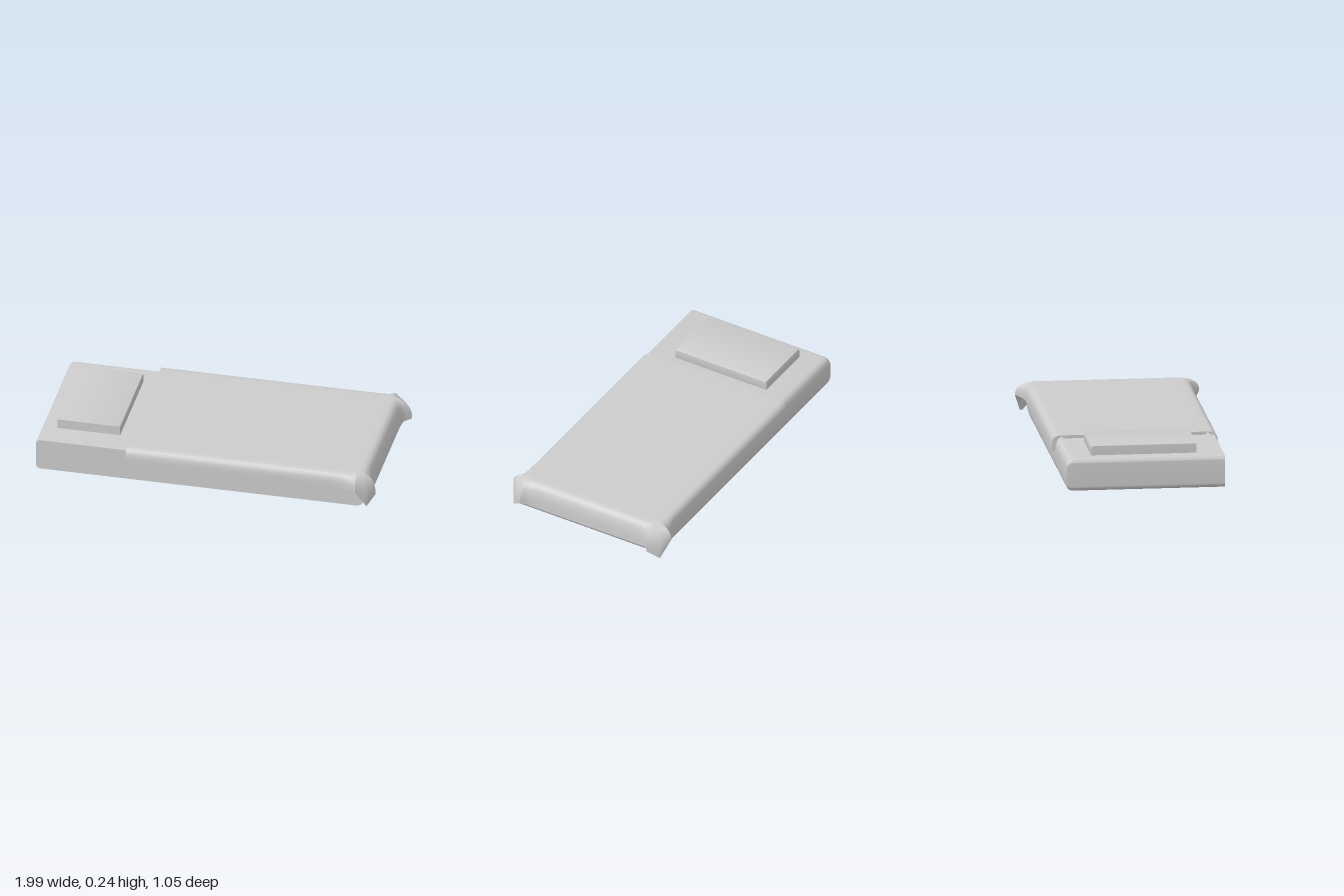
import * as THREE from 'three';
import { mergeVertices, toCreasedNormals } from 'three/addons/utils/BufferGeometryUtils.js';

const material = new THREE.MeshStandardMaterial({ color: 0xcccccc, side: THREE.DoubleSide });

function addMesh(group, geometry, name) {
  const mesh = new THREE.Mesh(geometry, material);
  mesh.name = name;
  group.add(mesh);
  return mesh;
}

// Block with rounded ends along x and softened long edges at the back (-z).
function softBlock(x0, x1, y0, y1, halfZ, rHead, rTopFoot, rBottomFoot, rBack) {
  const s = new THREE.Shape();
  s.moveTo(x0 + rHead, y0);
  s.lineTo(x1 - rBottomFoot, y0);
  s.quadraticCurveTo(x1, y0, x1, y0 + rBottomFoot);
  s.lineTo(x1, y1 - rTopFoot);
  s.quadraticCurveTo(x1, y1, x1 - rTopFoot, y1);
  s.lineTo(x0 + rHead, y1);
  s.quadraticCurveTo(x0, y1, x0, y1 - rHead);
  s.lineTo(x0, y0 + rHead);
  s.quadraticCurveTo(x0, y0, x0 + rHead, y0);

  let g = new THREE.ExtrudeGeometry(s, { depth: halfZ * 2, steps: 120, curveSegments: 8, bevelEnabled: false });
  g.translate(0, 0, -halfZ);
  const p = g.attributes.position;
  const mid = (y0 + y1) / 2, half = (y1 - y0) / 2;
  for (let i = 0; i < p.count; i++) {
    const d = Math.max(0, rBack - (p.getZ(i) + halfZ));
    const inset = rBack - Math.sqrt(Math.max(0, rBack * rBack - d * d));
    p.setY(i, mid + (p.getY(i) - mid) * (1 - inset / half));
  }
  g.deleteAttribute('normal');
  g.deleteAttribute('uv');
  return toCreasedNormals(mergeVertices(g), 0.6);
}

// Hanging cloth: columns run from the head end along one side, round the foot and back.
// Each column is [top x, top z, hem x, hem y, hem z, roundness].
function drape() {
  const topY = 0.205;
  const side = (flapShift) => [
    [-0.475, 0.41, -0.475, 0.12, 0.475, 0.6],
    [0.2, 0.41, 0.2, 0.12, 0.475, 0.6],
    [0.6, 0.41, 0.6, 0.12, 0.475, 0.6],
    [0.78, 0.41, 0.78, 0.12, 0.478, 0.6],
    [0.84, 0.41, 0.85, 0.12, 0.492, 0.75],
    [0.86, 0.41, 0.88 - flapShift / 2, 0.13, 0.525, 0.85],
    [0.86, 0.41, 0.95 - flapShift, 0.027, 0.49, 0.85],
    [0.86, 0.41, 0.988 - flapShift, 0.075, 0.425, 0.85],
    [0.86, 0.4, 0.945, 0.068, 0.39, 0.75],
    [0.86, 0.34, 0.935, 0.058, 0.34, 0.65],
  ];
  const mirrored = side(0).reverse().map(([sx, sz, hx, hy, hz, e]) => [sx, -sz, hx, hy, -hz, e]);
  const controls = [...side(0.02), ...mirrored];

  // Extra columns between the controls
  const columns = [];
  for (let i = 0; i < controls.length - 1; i++) {
    for (let k = 0; k < 3; k++) {
      columns.push(controls[i].map((v, n) => THREE.MathUtils.lerp(v, controls[i + 1][n], k / 3)));
    }
  }
  columns.push(controls[controls.length - 1]);

  const rows = 14, positions = [], index = [];
  for (const [sx, sz, hx, hy, hz, e] of columns) {
    for (let j = 0; j <= rows; j++) {
      const a = (j / rows) * Math.PI / 2;
      const out = Math.pow(Math.sin(a), e);
      const down = j === rows ? 1 : 1 - Math.pow(Math.cos(a), e);
      positions.push(sx + (hx - sx) * out, topY + (hy - topY) * down, sz + (hz - sz) * out);
    }
    // Hem thickness and inner lining
    const dx = hx - sx, dz = hz - sz, len = Math.hypot(dx, dz);
    const f = 1 - 0.02 / len;
    positions.push(sx + dx * f, hy, sz + dz * f);
    positions.push(sx + dx * 0.5, 0.18, sz + dz * 0.5);
  }
  const stride = rows + 3;
  for (let i = 0; i < columns.length - 1; i++) {
    for (let j = 0; j < stride - 1; j++) {
      const a = i * stride + j, b = a + 1, c = a + stride, d = c + 1;
      index.push(a, b, c, b, d, c);
    }
  }
  // Close the cut edge at the head end of both sides
  for (const start of [0, (columns.length - 1) * stride]) {
    for (let j = 0; j < rows; j++) {
      const tri = [start + stride - 1, start + j, start + j + 1];
      index.push(...(start ? tri : tri.reverse()));
    }
    const last = [start + stride - 1, start + rows, start + rows + 1];
    index.push(...(start ? last : last.reverse()));
  }
  const g = new THREE.BufferGeometry();
  g.setAttribute('position', new THREE.Float32BufferAttribute(positions, 3));
  g.setIndex(index);
  return toCreasedNormals(g, 0.7);
}

export function createModel() {
  const bed = new THREE.Group();
  bed.name = 'bed';

  addMesh(bed, softBlock(-1, 0.905, 0, 0.187, 0.453, 0.03, 0.03, 0.05, 0.04), 'mattress');
  addMesh(bed, softBlock(-0.91, -0.545, 0.175, 0.243, 0.3, 0.004, 0.004, 0.004, 0.012), 'pillow');

  const blanket = new THREE.Group();
  blanket.name = 'blanket';
  const top = addMesh(blanket, new THREE.BoxGeometry(1.335, 0.025, 0.82), 'blanketTop');
  top.position.set(0.1925, 0.1925, 0);
  addMesh(blanket, drape(), 'blanketDrape');
  bed.add(blanket);

  return bed;
}
